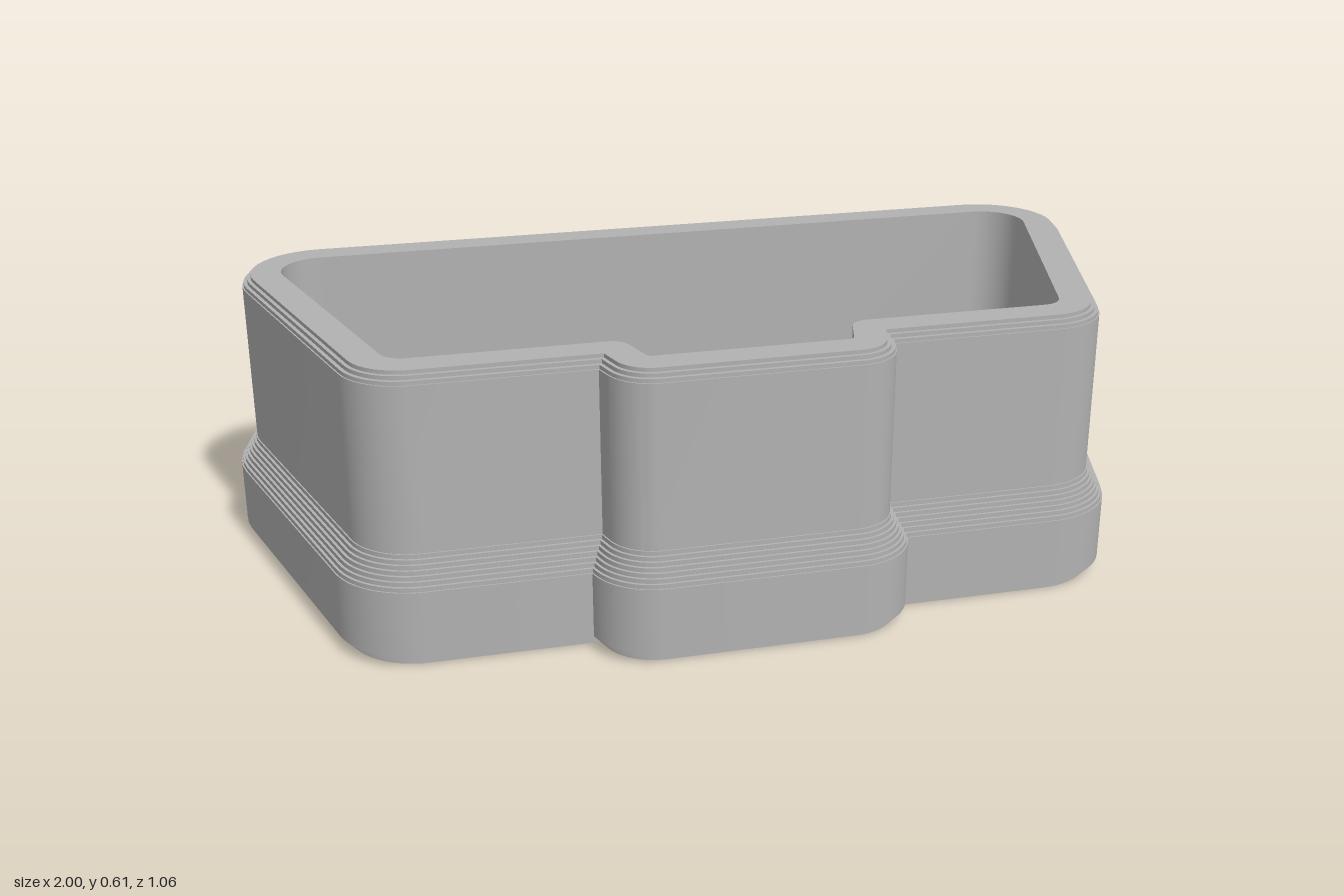
import * as THREE from 'three';
import { toCreasedNormals } from 'three/addons/utils/BufferGeometryUtils.js';

const ARC_STEPS = 12;

// Inner outline, right half: x, z, corner radius
const half = [
  [0.905, -0.405, 0.09],
  [0.697, 0.303, 0.05],
  [0.238, 0.303, 0.04],
  [0.208, 0.405, 0.01],
];
const corners = [...half, ...half.map(([x, z, r]) => [-x, z, r]).reverse()];

// Outline moved outwards by d: outer corners grow rounder, inner corners sharper
function outline(d) {
  const n = corners.length;
  const normals = corners.map(([x, z], i) => {
    const [x2, z2] = corners[(i + 1) % n];
    return new THREE.Vector2(z2 - z, x - x2).normalize();
  });
  const points = [];
  corners.forEach(([x, z, r], i) => {
    const n0 = normals[(i + n - 1) % n], n1 = normals[i];
    const side = n0.cross(n1) > 0 ? 1 : -1;
    const radius = Math.max(0, r + side * d);
    const miter = n0.clone().add(n1).divideScalar(1 + n0.dot(n1));
    const centre = new THREE.Vector2(x, z).addScaledVector(miter, d - side * radius);
    const start = Math.atan2(n0.y, n0.x);
    const turn = Math.atan2(n0.cross(n1), n0.dot(n1));
    for (let k = 0; k <= ARC_STEPS; k++) {
      const a = start + turn * k / ARC_STEPS;
      points.push([centre.x + side * radius * Math.cos(a), centre.y + side * radius * Math.sin(a)]);
    }
  });
  return points;
}

// Small stair steps from one offset and height to another
function steps(d0, y0, d1, y1, count) {
  const list = [];
  for (let k = 0; k < count; k++) {
    const d = d0 + (d1 - d0) * k / (count - 1);
    list.push([d, y0 + (y1 - y0) * k / count], [d, y0 + (y1 - y0) * (k + 1) / count]);
  }
  return list;
}

// Skin a list of [offset, height] rings
function skin(profile) {
  const rings = profile.map(([d, y]) => outline(d).map(([x, z]) => new THREE.Vector3(x, y, z)));
  const positions = [];
  const tri = new THREE.Triangle();
  const add = (a, b, c) => {
    if (tri.set(a, b, c).getArea() < 1e-9) return;
    for (const v of [a, b, c]) positions.push(v.x, v.y, v.z);
  };
  for (let k = 0; k < rings.length - 1; k++) {
    const low = rings[k], high = rings[k + 1];
    for (let i = 0; i < low.length; i++) {
      const j = (i + 1) % low.length;
      add(low[i], high[i], low[j]);
      add(low[j], high[i], high[j]);
    }
  }
  const geometry = new THREE.BufferGeometry();
  geometry.setAttribute('position', new THREE.Float32BufferAttribute(positions, 3));
  return toCreasedNormals(geometry, 0.5);
}

export function createModel() {
  const grey = new THREE.MeshStandardMaterial({ color: 0xb2b2b2 });
  grey.name = 'grey';
  const group = new THREE.Group();
  group.name = 'hollowSleeve';

  const addPart = (name, profile) => {
    const mesh = new THREE.Mesh(skin(profile), grey);
    mesh.name = name;
    group.add(mesh);
  };

  // Wide foot with stepped lower edge and stepped shoulder
  addPart('baseFlange', [
    [0, 0],
    ...steps(0.1, 0, 0.125, 0.036, 5),
    [0.125, 0.17],
    ...steps(0.122, 0.17, 0.088, 0.235, 7),
    [0.085, 0.235],
  ]);

  // Upright outer wall, stepped rim and straight inner wall
  addPart('wall', [
    [0.085, 0.235],
    [0.085, 0.585],
    ...steps(0.082, 0.585, 0.066, 0.61, 3),
    [0, 0.61],
    [0, 0],
  ]);

  return group;
}
